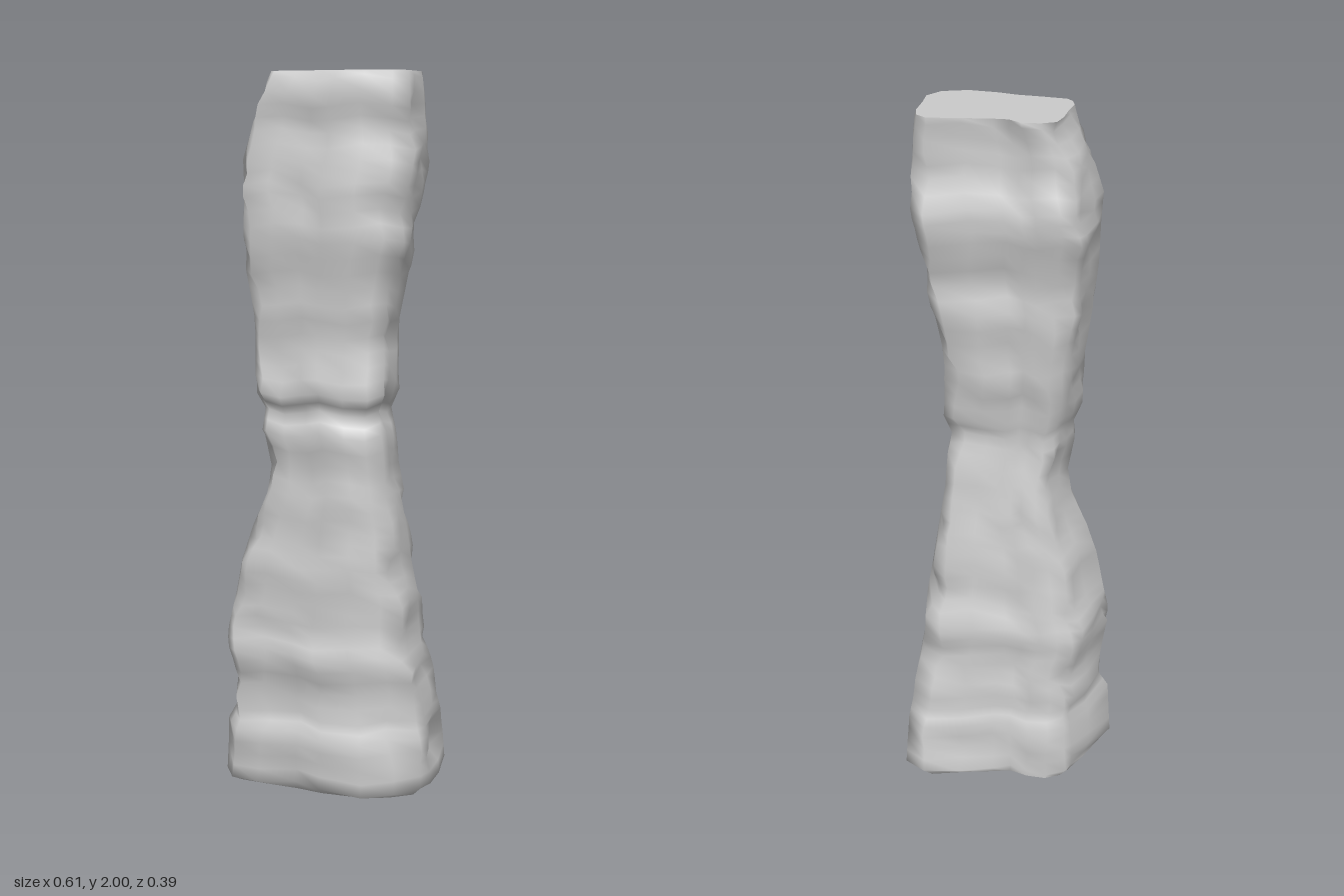
import * as THREE from 'three';

// Height, left edge, right edge, back edge, front edge
const LEVELS = [
  [0.00, -0.28, 0.27, -0.18, 0.16], [0.02, -0.305, 0.30, -0.195, 0.195],
  [0.17, -0.295, 0.29, -0.18, 0.195], [0.22, -0.267, 0.28, -0.16, 0.18],
  [0.30, -0.27, 0.27, -0.16, 0.17], [0.40, -0.288, 0.25, -0.15, 0.187],
  [0.46, -0.288, 0.24, -0.15, 0.175], [0.55, -0.27, 0.237, -0.138, 0.172],
  [0.65, -0.25, 0.22, -0.118, 0.182], [0.75, -0.22, 0.205, -0.11, 0.165],
  [0.85, -0.175, 0.19, -0.10, 0.172], [0.93, -0.163, 0.177, -0.085, 0.16],
  [1.02, -0.18, 0.172, -0.075, 0.175], [1.08, -0.175, 0.158, -0.065, 0.143],
  [1.13, -0.20, 0.18, -0.075, 0.167], [1.29, -0.205, 0.175, -0.10, 0.152],
  [1.42, -0.223, 0.20, -0.11, 0.165], [1.55, -0.237, 0.225, -0.11, 0.185],
  [1.67, -0.24, 0.24, -0.14, 0.186], [1.76, -0.245, 0.25, -0.155, 0.172],
  [1.84, -0.22, 0.25, -0.122, 0.155], [1.94, -0.18, 0.245, -0.12, 0.162],
  [1.98, -0.17, 0.24, -0.13, 0.157], [2.00, -0.165, 0.235, -0.125, 0.14],
];

// Outline of the foot and of the top, as fractions of the half width and half depth
const FOOT = [
  [-1, .25], [-.97, .42], [-.88, .58], [-.62, .68], [-.25, .8], [0, .93], [.4, 1],
  [.7, .9], [.93, .68], [.97, .25], [1, -.25], [1, -.8], [.82, -1], [.5, -.92],
  [.15, -.86], [-.02, -.82], [-.2, -.95], [-.4, -1], [-.56, -.9], [-.64, -.75], [-.8, -.35],
];
const TOP = [
  [-1, .2], [-.97, .42], [-.9, .55], [-.6, .65], [-.25, .75], [0, .88], [.4, 1],
  [.75, .9], [.93, .6], [.95, .2], [1, -.3], [.98, -.6], [.85, -.78], [.4, -.77],
  [0, -.77], [-.2, -.8], [-.35, -.98], [-.6, -1], [-.8, -.9], [-.88, -.6], [-.93, -.2],
];

const lerp = THREE.MathUtils.lerp;

// Shift and scale values so that they run from low to high
function fit(values, low, high) {
  const min = Math.min(...values), max = Math.max(...values);
  return values.map(n => lerp(low, high, (n - min) / (max - min)));
}

// Cross-section at one level, with shallow chiselled dents
function section([y, left, right, back, front]) {
  const t = y / 2;
  const ends = y < 0.01 || y > 1.99;
  const rough = ends ? 0 : 0.09;
  const outline = FOOT.map(([u, v], j) => {
    const a = j / FOOT.length * Math.PI * 2;
    const wave = Math.sin(y * 17 + a * 4) * Math.sin(a * 3 - y * 9) + 0.5 * Math.sin(y * 31 - a * 5);
    const k = 1 - rough * Math.max(0, wave);
    let z = lerp(v, TOP[j][1], t);
    // The hollow in the back fades out at mid height
    if (j > 11 && j < 17) z = lerp(z, -0.95, 0.65 * Math.sin(Math.PI * t));
    return [lerp(u, TOP[j][0], t) * k, z * k, ends ? 0 : 0.009 * Math.sin(a * 6 + y * 5)];
  });
  const xs = fit(outline.map(p => p[0]), left, right);
  const zs = fit(outline.map(p => p[1]), back, front);
  return outline.map((p, j) => new THREE.Vector3(xs[j], y + p[2], zs[j]));
}

// Split long stretches into levels at most 0.045 apart
function refine(levels) {
  return levels.flatMap((a, i) => {
    const b = levels[i + 1] ?? a;
    const steps = Math.max(1, Math.ceil((b[0] - a[0]) / 0.045));
    return Array.from({ length: steps }, (_, s) => a.map((n, k) => lerp(n, b[k], s / steps)));
  });
}

function geometryFrom(points, index) {
  const g = new THREE.BufferGeometry().setFromPoints(points);
  g.setIndex(index);
  g.computeVertexNormals();
  return g;
}

function wall(rings) {
  const n = FOOT.length, index = [];
  for (let i = 0; i < rings.length - 1; i++) {
    for (let j = 0; j < n; j++) {
      const a = i * n + j, b = i * n + (j + 1) % n;
      index.push(a, b, a + n, b, b + n, a + n);
    }
  }
  return geometryFrom(rings.flat(), index);
}

function cap(ring, up) {
  const n = ring.length, index = [];
  const centre = ring.reduce((s, p) => s.add(p), new THREE.Vector3()).divideScalar(n);
  for (let j = 0; j < n; j++) {
    const k = (j + 1) % n;
    index.push(n, ...(up ? [j, k] : [k, j]));
  }
  return geometryFrom([...ring, centre], index);
}

export function createModel() {
  const group = new THREE.Group();
  group.name = 'rockPillar';
  const material = new THREE.MeshStandardMaterial({ color: 0xcccccc, roughness: 0.9 });
  const rings = refine(LEVELS).map(section);
  const add = (name, geometry) => {
    const mesh = new THREE.Mesh(geometry, material);
    mesh.name = name;
    group.add(mesh);
  };
  add('pillarBody', wall(rings));
  add('topFace', cap(rings[rings.length - 1], true));
  add('bottomFace', cap(rings[0], false));
  return group;
}
